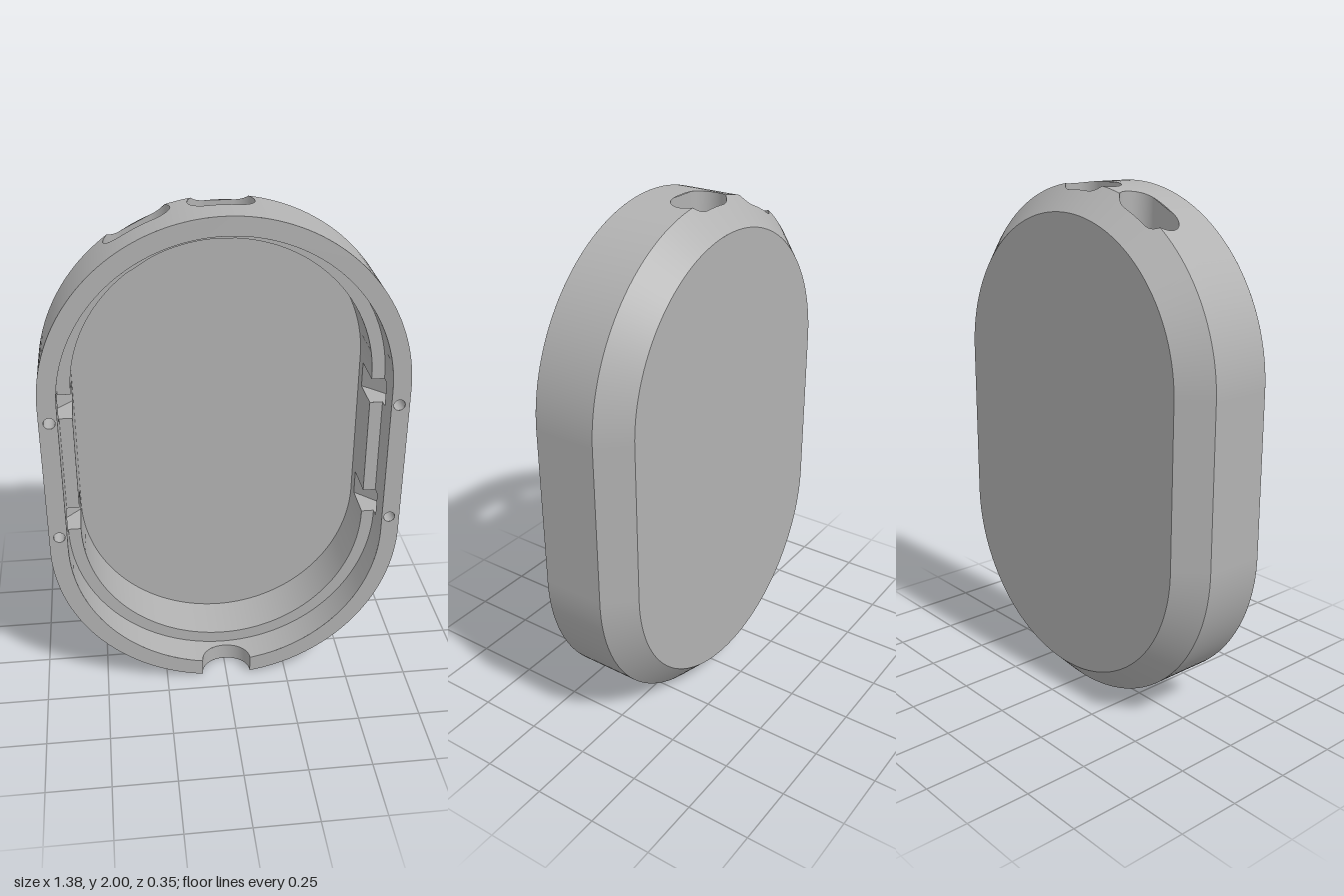
import * as THREE from 'three';

const LOW = 0.69, HIGH = 1.31;              // arc centres of the rounded outline
const R_OUT = 0.69, R_RIM = 0.62, R_IN = 0.57, R_BACK = 0.59;
const FRONT = 0.173, BACK = -0.173, BEVEL = -0.073, LEDGE = 0.045, FLOOR = -0.153;
const SLOT_Z = -0.0275, SLOT_R = 0.07, SLOT_HALF = 0.05, SLOT_X = [-0.3, 0];
const NOTCH = 0.1, POCKET_Y = [0.75, 1.25], POCKET_HALF = 0.05;
const POCKET_TOP = 0.08, POCKET_LOW = -0.1;

const grey = new THREE.MeshStandardMaterial({ color: 0xb2b2b2, side: THREE.DoubleSide });
grey.name = 'grey';

function mesh(name, geometry) {
  const m = new THREE.Mesh(geometry, grey);
  m.name = name;
  return m;
}

function stripGeometry(positions, normals, flip) {
  const g = new THREE.BufferGeometry();
  g.setAttribute('position', new THREE.Float32BufferAttribute(positions, 3));
  const index = [];
  for (let i = 0; i < positions.length / 3 - 2; i += 2) {
    const [a, b, c, d] = [i, i + 1, i + 2, i + 3];
    if (flip) index.push(a, b, c, c, b, d);
    else index.push(a, c, b, c, d, b);
  }
  g.setIndex(index);
  if (normals) g.setAttribute('normal', new THREE.Float32BufferAttribute(normals, 3));
  else g.computeVertexNormals();
  return g;
}

// Strip between two matching lists of points
const loft = (A, B, flip) => stripGeometry(A.flatMap((p, i) => [...p, ...B[i]]), null, flip);

// Half height of the top slots at a given x
function slotHalf(x) {
  for (const cx of SLOT_X) {
    const d = Math.max(0, Math.abs(x - cx) - SLOT_HALF);
    if (d < SLOT_R) return Math.sqrt(SLOT_R ** 2 - d * d);
  }
  return 0;
}
const isTop = s => s.c === HIGH && Math.sin(s.a) > 0.01;
const isBottom = s => s.c === LOW && Math.sin(s.a) < -0.01;
const slotAt = (s, r) => (isTop(s) ? slotHalf(r * Math.cos(s.a)) : 0);
const frontAt = (s, r) => {
  const x = r * Math.cos(s.a);
  return isBottom(s) && Math.abs(x) < NOTCH ? FRONT - Math.sqrt(NOTCH ** 2 - x * x) : FRONT;
};
const inPocket = s => Math.abs(Math.sin(s.a)) < 1e-6 &&
  POCKET_Y.some(y => Math.abs(s.c - y) < POCKET_HALF);

// Outline samples: c = centre height, a = direction; denser around the cut-outs
function outline(rSlot, rNotch) {
  const top = [], bottom = [], side = [LOW, HIGH];
  for (let i = 0; i <= 72; i++) {
    top.push(Math.PI * i / 72);
    bottom.push(Math.PI * (1 + i / 72));
  }
  for (let i = 0; i <= 12; i++) {
    const k = Math.sin(Math.PI / 2 * i / 12);
    for (const s of [-1, 1]) {
      for (const cx of SLOT_X) top.push(Math.acos((cx + s * (SLOT_HALF + SLOT_R * k)) / rSlot));
      bottom.push(2 * Math.PI - Math.acos(s * NOTCH * k / rNotch));
    }
  }
  for (const y of POCKET_Y) for (const s of [-1, 1]) for (const e of [-1e-4, 1e-4]) side.push(y + s * POCKET_HALF + e);
  const up = (p, q) => p - q;
  top.sort(up); bottom.sort(up); side.sort(up);
  return [
    ...top.map(a => ({ c: HIGH, a })),
    ...[...side].reverse().map(c => ({ c, a: Math.PI })),
    ...bottom.map(a => ({ c: LOW, a })),
    ...side.map(c => ({ c, a: 2 * Math.PI })),
  ];
}

// Band around the outline; low and high give [radius, z, optional direction]
function band(name, samples, low, high, radial, nz) {
  const pos = [], nor = [];
  for (const s of samples) {
    for (const [r, z, a = s.a] of [low(s), high(s)]) {
      pos.push(r * Math.cos(a), s.c + r * Math.sin(a), z);
      nor.push(radial * Math.cos(a), radial * Math.sin(a), nz);
    }
  }
  return mesh(name, stripGeometry(pos, nor, radial < 0));
}

function plate(name, r, z) {
  const shape = new THREE.Shape();
  shape.absarc(0, HIGH, r, 0, Math.PI);
  shape.absarc(0, LOW, r, Math.PI, 2 * Math.PI);
  const m = mesh(name, new THREE.ShapeGeometry(shape, 72));
  m.position.z = z;
  return m;
}

function circleHole(x, y, r) {
  const p = new THREE.Path();
  p.absarc(x, y, r, 0, 2 * Math.PI, true);
  return p;
}

// Front rim face, open at the bottom notch, with four small holes
function rimFace() {
  const o = Math.asin(NOTCH / R_OUT), n = Math.asin(NOTCH / R_RIM), q = Math.PI / 2;
  const s = new THREE.Shape();
  s.absarc(0, LOW, R_OUT, o - q, 0);
  s.absarc(0, HIGH, R_OUT, 0, Math.PI);
  s.absarc(0, LOW, R_OUT, Math.PI, 3 * q - o);
  s.absarc(0, LOW, R_RIM, 3 * q - n, Math.PI, true);
  s.absarc(0, HIGH, R_RIM, Math.PI, 0, true);
  s.absarc(0, LOW, R_RIM, 0, n - q, true);
  for (const x of [-0.65, 0.65]) for (const y of POCKET_Y) s.holes.push(circleHole(x, y, 0.022));
  const m = mesh('rimFace', new THREE.ShapeGeometry(s, 72));
  m.position.z = FRONT;
  return m;
}

// Sloped pocket cut into the ledge and wall, joined to a hole in the rim
function pocket(y, side) {
  const g = new THREE.Group();
  g.name = 'pocket';
  const y0 = y - POCKET_HALF, y1 = y + POCKET_HALF, end = 0.675;
  const slope = [[R_IN, POCKET_LOW], [end, 0.005]], back = [[end, 0.005], [end, POCKET_TOP]];
  for (const [name, line] of [['pocketSlope', slope], ['pocketEnd', back]]) {
    g.add(mesh(name, loft(line.map(([x, z]) => [x, y0, z]), line.map(([x, z]) => [x, y1, z]), true)));
  }
  const cheek = new THREE.Shape([[R_IN, POCKET_LOW], [end, 0.005], [end, POCKET_TOP], [R_RIM, POCKET_TOP],
    [R_RIM, LEDGE], [R_IN, LEDGE]].map(p => new THREE.Vector2(...p)));
  for (const cy of [y0, y1]) {
    const m = mesh('pocketCheek', new THREE.ShapeGeometry(cheek));
    m.rotation.x = Math.PI / 2;
    m.position.y = cy;
    g.add(m);
  }
  const roof = new THREE.Shape([[R_RIM, y0], [end, y0], [end, y1], [R_RIM, y1]].map(p => new THREE.Vector2(...p)));
  roof.holes.push(circleHole(0.65, y, 0.022));
  const top = mesh('pocketRoof', new THREE.ShapeGeometry(roof, 24));
  top.position.z = POCKET_TOP;
  const bore = mesh('rimHole', new THREE.CylinderGeometry(0.022, 0.022, FRONT - POCKET_TOP, 24, 1, true));
  bore.rotation.x = Math.PI / 2;
  bore.position.set(0.65, y, (FRONT + POCKET_TOP) / 2);
  g.add(top, bore);
  g.scale.x = side;
  return g;
}

// Wall of a top slot, running straight down through the shell
function slotWall(cx) {
  const A = [], B = [];
  for (let i = 0; i <= 64; i++) {
    const t = 2 * Math.PI * (i % 64 + 0.5) / 64;
    const x = cx + Math.sign(Math.cos(t)) * SLOT_HALF + SLOT_R * Math.cos(t);
    const z = SLOT_Z + SLOT_R * Math.sin(t);
    const r = R_OUT + Math.min(0, z - BEVEL);
    A.push([x, HIGH + Math.sqrt(r * r - x * x), z]);
    B.push([x, HIGH + Math.sqrt(R_IN ** 2 - x * x), z]);
  }
  return mesh('slotWall', loft(A, B, true));
}

// Half-round notch in the bottom of the rim
function notchWall() {
  const A = [], B = [];
  for (let i = 0; i <= 32; i++) {
    const t = Math.PI * i / 32, x = -NOTCH * Math.cos(t), z = FRONT - NOTCH * Math.sin(t);
    A.push([x, LOW - Math.sqrt(R_OUT ** 2 - x * x), z]);
    B.push([x, LOW - Math.sqrt(R_RIM ** 2 - x * x), z]);
  }
  return mesh('notchWall', loft(A, B, true));
}

export function createModel() {
  const model = new THREE.Group();
  model.name = 'caseShell';
  const outer = outline(R_OUT, R_OUT), inner = outline(R_IN, R_RIM);
  const slotLow = s => SLOT_Z - slotAt(s, R_OUT);
  const bevelStart = s => {
    const z = Math.min(BEVEL, slotLow(s)), r = R_OUT + z - BEVEL;
    return z < BEVEL ? [r, z, Math.acos(R_OUT * Math.cos(s.a) / r)] : [r, z];
  };

  // Outside
  model.add(
    band('outerWallFront', outer, s => [R_OUT, SLOT_Z + slotAt(s, R_OUT)], s => [R_OUT, frontAt(s, R_OUT)], 1, 0),
    band('outerWallBack', outer, s => [R_OUT, BEVEL], s => [R_OUT, Math.max(BEVEL, slotLow(s))], 1, 0),
    band('backBevel', outer, () => [R_BACK, BACK], bevelStart, Math.SQRT1_2, -Math.SQRT1_2),
  );
  const back = plate('backPanel', R_BACK, BACK);
  back.rotation.y = Math.PI;
  model.add(back, rimFace());

  // Inside
  model.add(
    band('rimInnerWall', inner, s => [R_RIM, inPocket(s) ? POCKET_TOP : LEDGE], s => [R_RIM, frontAt(s, R_RIM)], -1, 0),
    band('ledge', inner, s => [R_RIM, LEDGE], s => [inPocket(s) ? R_RIM : R_IN, LEDGE], 0, 1),
    band('innerWallFront', inner, s => [R_IN, inPocket(s) ? LEDGE : SLOT_Z + slotAt(s, R_IN)], () => [R_IN, LEDGE], -1, 0),
    band('innerWallBack', inner, () => [R_IN, FLOOR],
      s => [R_IN, inPocket(s) ? POCKET_LOW : SLOT_Z - slotAt(s, R_IN)], -1, 0),
    plate('floor', R_IN, FLOOR),
  );

  // Cut-outs
  for (const cx of SLOT_X) model.add(slotWall(cx));
  model.add(notchWall());
  for (const side of [-1, 1]) for (const y of POCKET_Y) model.add(pocket(y, side));
  return model;
}
